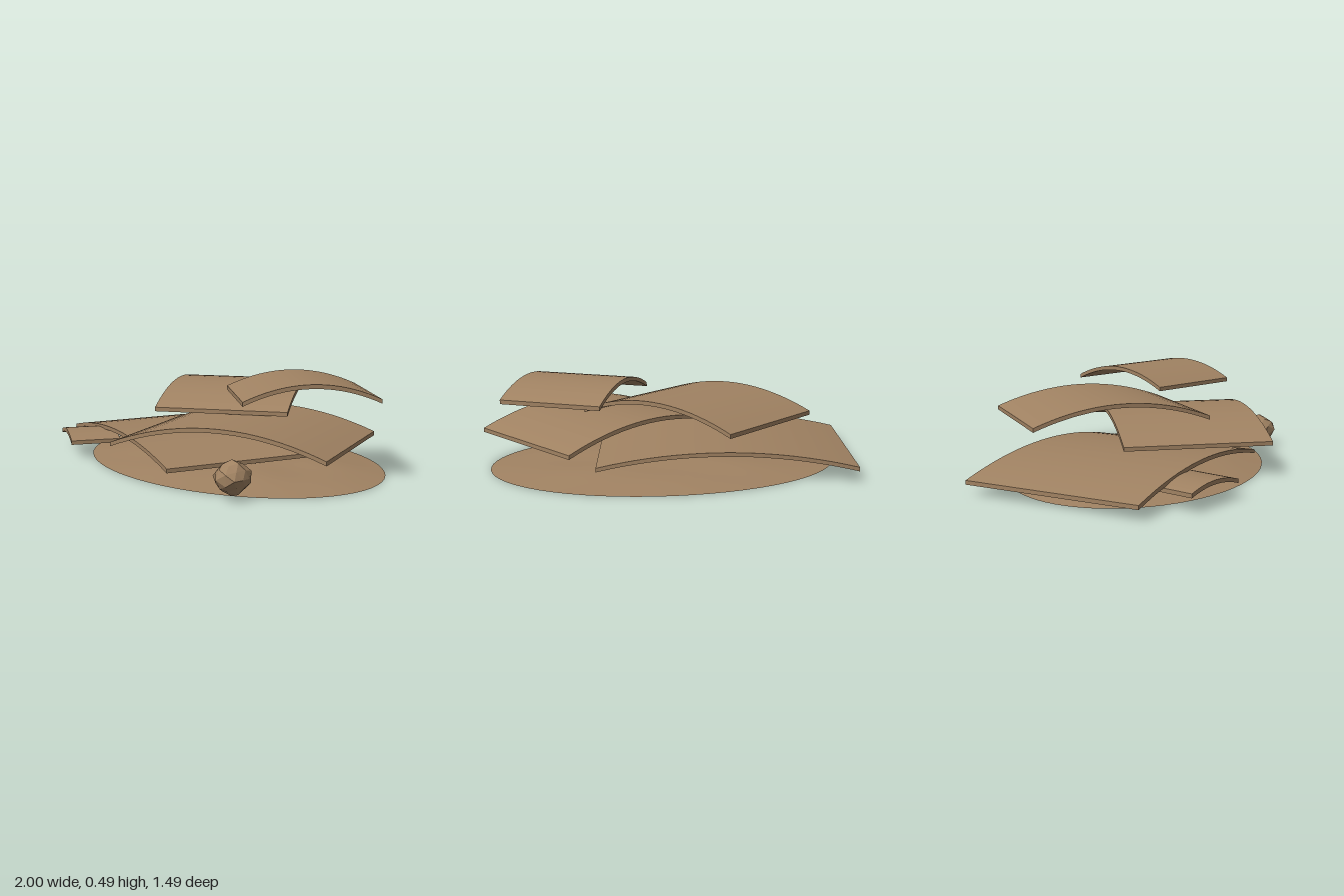
import * as THREE from 'three';
import { mergeVertices } from 'three/addons/utils/BufferGeometryUtils.js';

// Arched sheet: a thin box bent along its length
function makeSheet(length, width, rise) {
  const t = 0.021;
  const geo = new THREE.BoxGeometry(length, t, width, 20, 1, 2);
  const p = geo.attributes.position;
  for (let i = 0; i < p.count; i++) {
    const u = p.getX(i) / (length / 2);
    p.setY(i, p.getY(i) + t / 2 + rise * (1 - u * u));
  }
  geo.computeVertexNormals();
  return geo;
}

// Low, slightly lumpy oval mound with an open underside
function makeMound(rx, rz, height) {
  let geo = new THREE.RingGeometry(0, 1, 64, 10);
  geo.rotateX(-Math.PI / 2);
  geo.deleteAttribute('uv');
  geo.deleteAttribute('normal');
  geo = mergeVertices(geo, 1e-4);
  const p = geo.attributes.position;
  for (let i = 0; i < p.count; i++) {
    const x = p.getX(i), z = p.getZ(i);
    const fall = Math.max(0, 1 - x * x - z * z);
    const lump = 0.85 + 0.14 * Math.sin(7 * x + 1) * Math.cos(8 * z);
    p.setXYZ(i, x * rx, height * fall * lump, z * rz);
  }
  geo.computeVertexNormals();
  return geo;
}

// Crumpled ball with uneven facets
function makeBall(radius) {
  const geo = new THREE.IcosahedronGeometry(radius, 1);
  const p = geo.attributes.position;
  const v = new THREE.Vector3();
  for (let i = 0; i < p.count; i++) {
    v.fromBufferAttribute(p, i);
    const n = Math.sin(v.x * 91 + 1.3) * Math.cos(v.y * 83 + 0.4) + Math.sin(v.z * 97 + v.x * 40);
    v.multiplyScalar(0.93 + 0.075 * n);
    p.setXYZ(i, v.x, v.y, v.z);
  }
  // plain per-face normals, as the geometry is not indexed
  geo.computeVertexNormals();
  return geo;
}

export function createModel() {
  const group = new THREE.Group();
  const cardboard = new THREE.MeshStandardMaterial({ color: 0xa08262, side: THREE.DoubleSide });
  cardboard.name = 'cardboard brown';

  const add = (name, geo, x, y, z, turn = 0) => {
    const mesh = new THREE.Mesh(geo, cardboard);
    mesh.name = name;
    mesh.position.set(x, y, z);
    mesh.rotation.y = turn;
    group.add(mesh);
  };

  add('groundMound', makeMound(0.92, 0.655, 0.06), 0.06, 0, 0);

  // name, length, width, rise, x, y, z, turn
  const sheets = [
    ['scrapSheet', 0.37, 0.26, 0.03, -0.6, 0.075, 0.475, -0.39],
    ['bottomSheet', 1.32, 0.95, 0.078, -0.26, 0.052, -0.005, -0.2],
    ['secondSheet', 1.114, 0.783, 0.108, 0.325, 0.16, 0.13, 0.496],
    ['thirdSheet', 0.946, 0.687, 0.092, -0.075, 0.29, -0.163, -0.898],
    ['topSheet', 0.672, 0.53, 0.077, 0.535, 0.394, -0.058, 1.04],
  ];
  for (const [name, l, w, rise, x, y, z, turn] of sheets) {
    add(name, makeSheet(l, w, rise), x, y, z, turn);
  }

  add('crumpledBall', makeBall(0.09), 0.72, 0.104, 0.53);
  return group;
}
